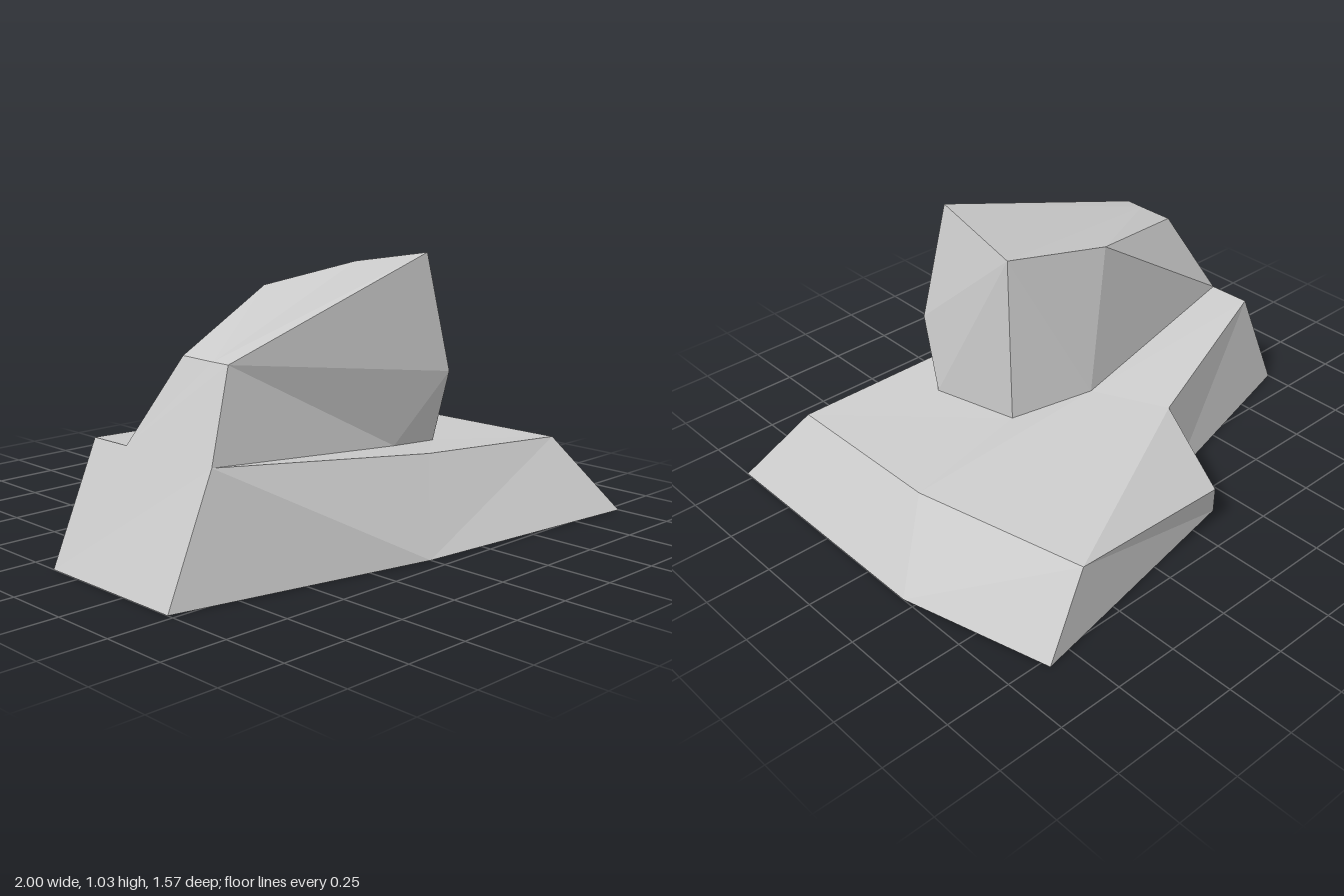
import * as THREE from 'three';

// Outlines of the rock, each running left-back, front, right, back (x, y, z)
const ground = [[-1, 0, -0.14], [-1, 0, 0.475], [0, 0, 0.685], [1, 0, 0.785],
  [1, 0, -0.2], [0.85, 0, -0.785], [-0.14, 0, -0.6], [-0.2, 0, -0.355]];
const rim = [[-0.82, 0.435, -0.13], [-0.805, 0.435, 0.465], [0.15, 0.33, 0.54], [0.82, 0.29, 0.59],
  [0.81, 0.287, -0.07], [0.67, 0.295, -0.75], [-0.06, 0.18, -0.67], [-0.13, 0.35, -0.365]];
// Foot of the upper block, which shares the rim corner rim[1]
const foot = [[-0.817, 0.433, 0.04], [0.13, 0.335, 0.39], [0.38, 0.31, 0.36],
  [0.295, 0.308, 0.028], [-0.01, 0.34, -0.075]];
// Top of the upper block, and the overhanging corner on its front edge
const crown = [[-0.68, 0.742, 0.18], [-0.68, 0.74, 0.33], [-0.68, 0.74, 0.405],
  [0.255, 1.033, 0.425], [0.295, 0.967, 0.032], [-0.11, 0.905, -0.042]];
const overhang = [0.358, 0.59, 0.452];

// Flat facets from polygons, each split as a fan from its first corner
function facets(name, polygons, material) {
  const positions = [];
  for (const p of polygons) {
    for (let i = 1; i < p.length - 1; i++) positions.push(...p[0], ...p[i], ...p[i + 1]);
  }
  const geometry = new THREE.BufferGeometry();
  geometry.setAttribute('position', new THREE.Float32BufferAttribute(positions, 3));
  geometry.computeVertexNormals();
  const mesh = new THREE.Mesh(geometry, material);
  mesh.name = name;
  return mesh;
}

export function createModel() {
  const group = new THREE.Group();
  group.name = 'rock';
  const stone = new THREE.MeshStandardMaterial({ color: 0xcccccc, flatShading: true, side: THREE.DoubleSide });
  stone.name = 'stone grey';

  // Sloping walls from the ground to the rim; the shell is open underneath
  const walls = ground.map((g, i) => {
    const j = (i + 1) % ground.length;
    return i === 1 || i === 5
      ? [ground[j], rim[j], rim[i], g]
      : [g, ground[j], rim[j], rim[i]];
  });
  walls.push([rim[0], rim[1], foot[0]]);
  group.add(facets('baseWalls', walls, stone));

  // Ledge between the rim and the foot of the upper block
  group.add(facets('ledge', [
    [foot[1], rim[1], rim[2]],
    [foot[2], foot[1], rim[2], rim[3]],
    [foot[3], foot[2], rim[3], rim[4]],
    [foot[4], foot[3], rim[4], rim[5], rim[7]],
    [foot[4], rim[7], rim[0], foot[0]],
    [rim[7], rim[5], rim[6]],
  ], stone));

  // Sides of the upper block
  group.add(facets('upperBlockSides', [
    [foot[0], rim[1], crown[2], crown[1], crown[0]],
    [rim[1], foot[1], crown[2]],
    [overhang, crown[3], crown[2], foot[1], foot[2]],
    [crown[4], crown[3], overhang, foot[2], foot[3]],
    [crown[4], foot[3], foot[4], crown[5]],
    [crown[5], foot[4], foot[0], crown[0]],
  ], stone));

  // Slanting top of the upper block
  group.add(facets('upperBlockTop', [
    [crown[1], crown[2], crown[3], crown[4], crown[5], crown[0]],
  ], stone));

  return group;
}
